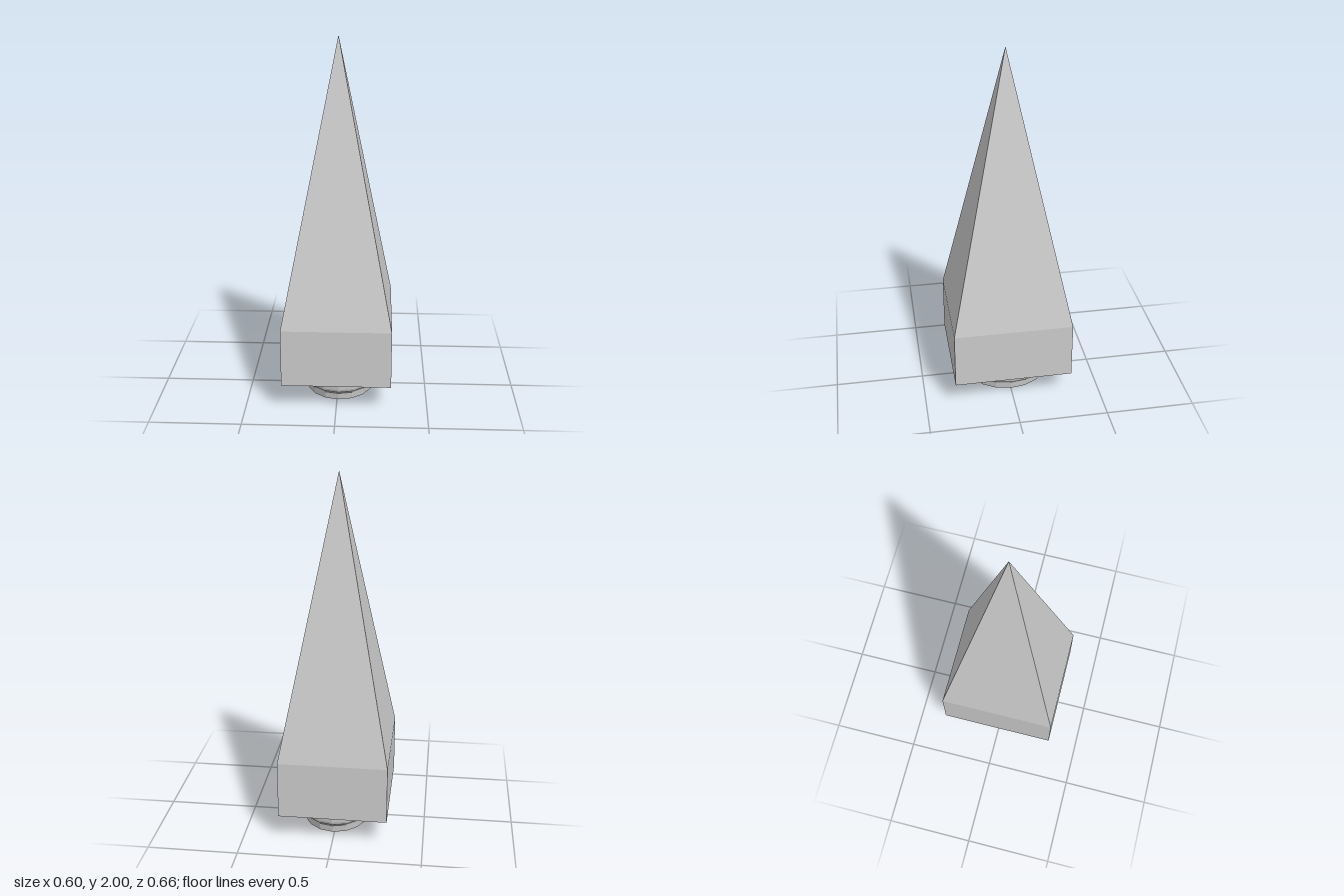
import * as THREE from 'three';

const BASE_Y = 0.145, EAVE_Y = 0.468, TOP_Y = 2;
const HALF_X = 0.3, HALF_Z = 0.332;

function part(name, geometry, side = THREE.FrontSide) {
  const material = new THREE.MeshStandardMaterial({ color: 0xcccccc, flatShading: true, side });
  const mesh = new THREE.Mesh(geometry, material);
  mesh.name = name;
  return mesh;
}

export function createModel() {
  const model = new THREE.Group();
  model.name = 'spire';

  // Rectangular block under the spire
  const block = new THREE.BoxGeometry(HALF_X * 2, EAVE_Y - BASE_Y, HALF_Z * 2);
  block.translate(0, (BASE_Y + EAVE_Y) / 2, 0);
  model.add(part('baseBlock', block));

  // Four-sided pyramid, its corners turned onto the block's corners
  const pyramid = new THREE.ConeGeometry(Math.SQRT2, TOP_Y - EAVE_Y, 4, 1, true);
  pyramid.rotateY(Math.PI / 4);
  pyramid.scale(HALF_X, 1, HALF_Z);
  pyramid.translate(0, (EAVE_Y + TOP_Y) / 2, 0);
  model.add(part('pyramid', pyramid));

  // Open oval collar below the block: straight wall, rounded step, narrower lip
  const profile = [
    [0.86, 0.004], [0.885, 0.045], [0.92, 0.056], [0.965, 0.064], [0.99, 0.08], [1, 0.105], [1, BASE_Y],
  ].map(([r, y]) => new THREE.Vector2(r, y));
  const collar = new THREE.LatheGeometry(profile, 16);
  collar.scale(0.22, 1, 0.26);
  // The lip tilts slightly down towards the back
  const p = collar.attributes.position;
  for (let i = 0; i < p.count; i++) {
    const fade = 1 - p.getY(i) / BASE_Y;
    p.setY(i, p.getY(i) + 0.02 * p.getZ(i) * fade);
  }
  collar.translate(0.01, 0, 0);
  model.add(part('collar', collar, THREE.DoubleSide));

  return model;
}
